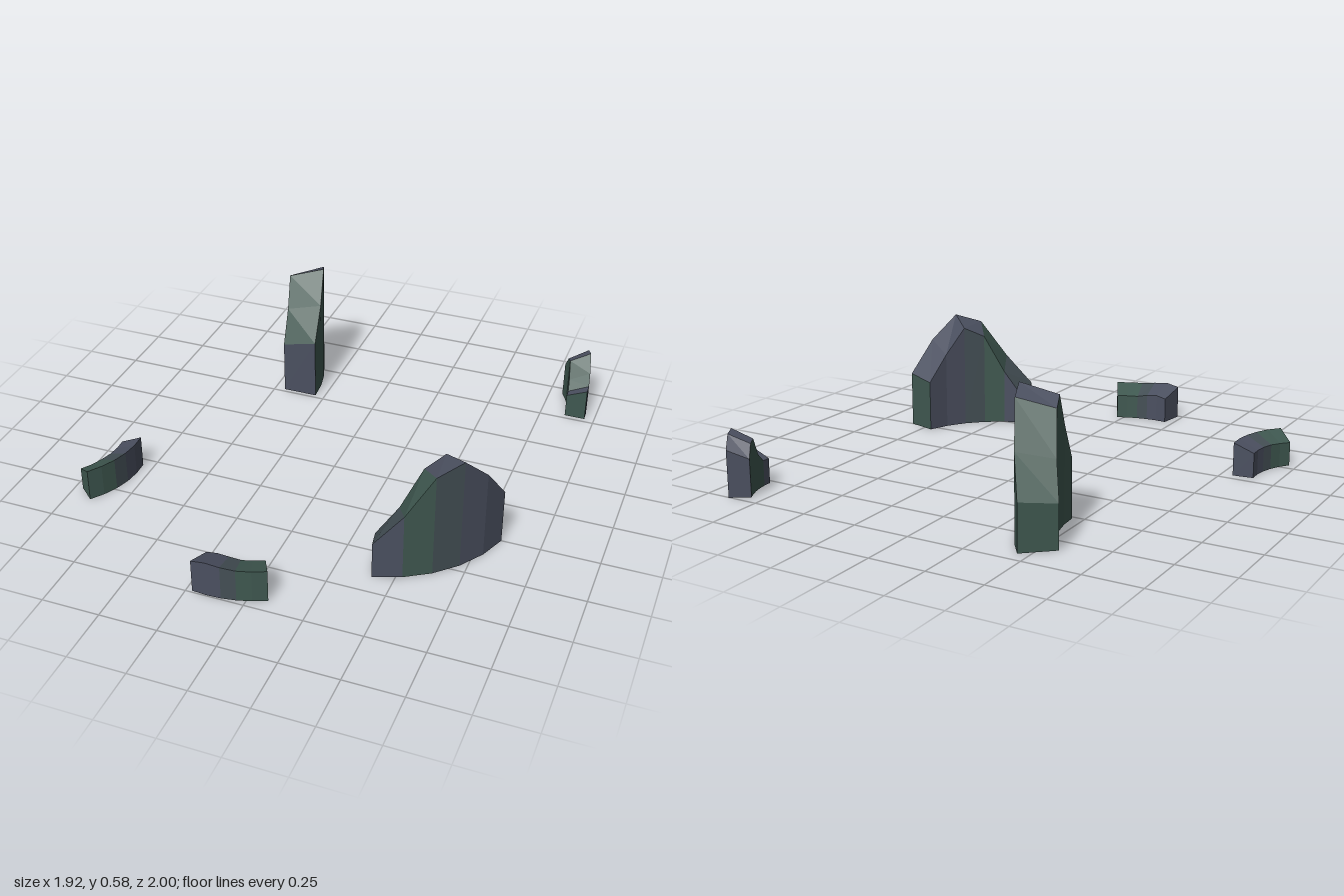
import * as THREE from 'three';

const slate = new THREE.MeshStandardMaterial({ color: 0x4b5060 });
const moss = new THREE.MeshStandardMaterial({ color: 0x3f5850 });
const weathered = new THREE.MeshStandardMaterial({ color: 0x444f55 });
slate.name = 'slate';
moss.name = 'moss green';
weathered.name = 'weathered grey';
const materials = [slate, moss, weathered];
const S = 0, M = 1, W = 2;

// Broken curved walls: centre [x, z], inner and outer radius, start and end
// angle in degrees, top heights along each edge, colour of each segment
const walls = [
  { name: 'largeWall', c: [0.267, 0.087], r: [0.457, 0.59], a: [76, 16],
    inner: [0.118, 0.25, 0.425, 0.47, 0.35, 0.23],
    outer: [0.165, 0.3, 0.47, 0.51, 0.4, 0.25],
    sides: [S, M, W, S, S], tops: [W, M, S, S, S], ends: [S, M] },
  { name: 'tallWall', c: [-0.942, -0.518], r: [0.49, 0.648], a: [0, -40.8],
    inner: [0.25, 0.405, 0.545, 0.51, 0.335, 0.185],
    outer: [0.285, 0.44, 0.585, 0.55, 0.365, 0.2],
    sides: [M, M, M, M, M], tops: [M, M, S, M, M], ends: [S, M] },
  { name: 'frontLowWall', c: [-0.153, 0.481], r: [0.4, 0.515], a: [98, 63],
    inner: [0.115, 0.125, 0.12, 0.11, 0.11, 0.11],
    outer: [0.15, 0.162, 0.155, 0.148, 0.147, 0.147],
    sides: [S, S, W, M, M], tops: [S, S, W, M, M], ends: [S, M] },
  { name: 'leftLowWall', c: [-1.198, 0.339], r: [0.31, 0.4], a: [41, -7],
    inner: [0.105, 0.107, 0.11, 0.11, 0.11, 0.11],
    outer: [0.145, 0.147, 0.147, 0.147, 0.147, 0.147],
    sides: [M, M, W, S, S], tops: [M, M, W, S, S], ends: [M, S] },
  { name: 'backLowWall', c: [0.533, -0.773], r: [0.33, 0.423], a: [0, -33],
    inner: [0.11, 0.11, 0.15, 0.23, 0.22, 0.165],
    outer: [0.15, 0.15, 0.19, 0.27, 0.26, 0.205],
    sides: [S, M, M, M, M], tops: [S, M, M, S, S], ends: [M, S] },
];

function buildWall({ name, c, r, a, inner, outer, sides, tops, ends }) {
  const positions = [];
  const geometry = new THREE.BufferGeometry();
  const n = inner.length - 1;

  // Four corners of the wall's cross-section at each station
  const stations = inner.map((h, i) => {
    const t = THREE.MathUtils.degToRad(a[0] + ((a[1] - a[0]) * i) / n);
    const at = (radius, y) => [c[0] + radius * Math.cos(t), y, c[1] + radius * Math.sin(t)];
    return { ib: at(r[0], 0), it: at(r[0], h), ob: at(r[1], 0), ot: at(r[1], outer[i]) };
  });

  const quad = (p, q, s, t, colour) => {
    geometry.addGroup(positions.length / 3, 6, colour);
    positions.push(...p, ...q, ...s, ...p, ...s, ...t);
  };

  for (let i = 0; i < n; i++) {
    const u = stations[i], v = stations[i + 1];
    quad(u.ob, v.ob, v.ot, u.ot, sides[i]); // outer face
    quad(v.ib, u.ib, u.it, v.it, sides[i]); // inner face
    quad(u.ot, v.ot, v.it, u.it, tops[i]); // broken top
    quad(v.ob, u.ob, u.ib, v.ib, sides[i]); // underside
  }

  // End caps
  const first = stations[0], last = stations[n];
  quad(first.ib, first.ob, first.ot, first.it, ends[0]);
  quad(last.ob, last.ib, last.it, last.ot, ends[1]);

  geometry.setAttribute('position', new THREE.Float32BufferAttribute(positions, 3));
  geometry.computeVertexNormals();
  const mesh = new THREE.Mesh(geometry, materials);
  mesh.name = name;
  return mesh;
}

export function createModel() {
  const group = new THREE.Group();
  group.name = 'ruinedWalls';
  for (const wall of walls) group.add(buildWall(wall));
  return group;
}
